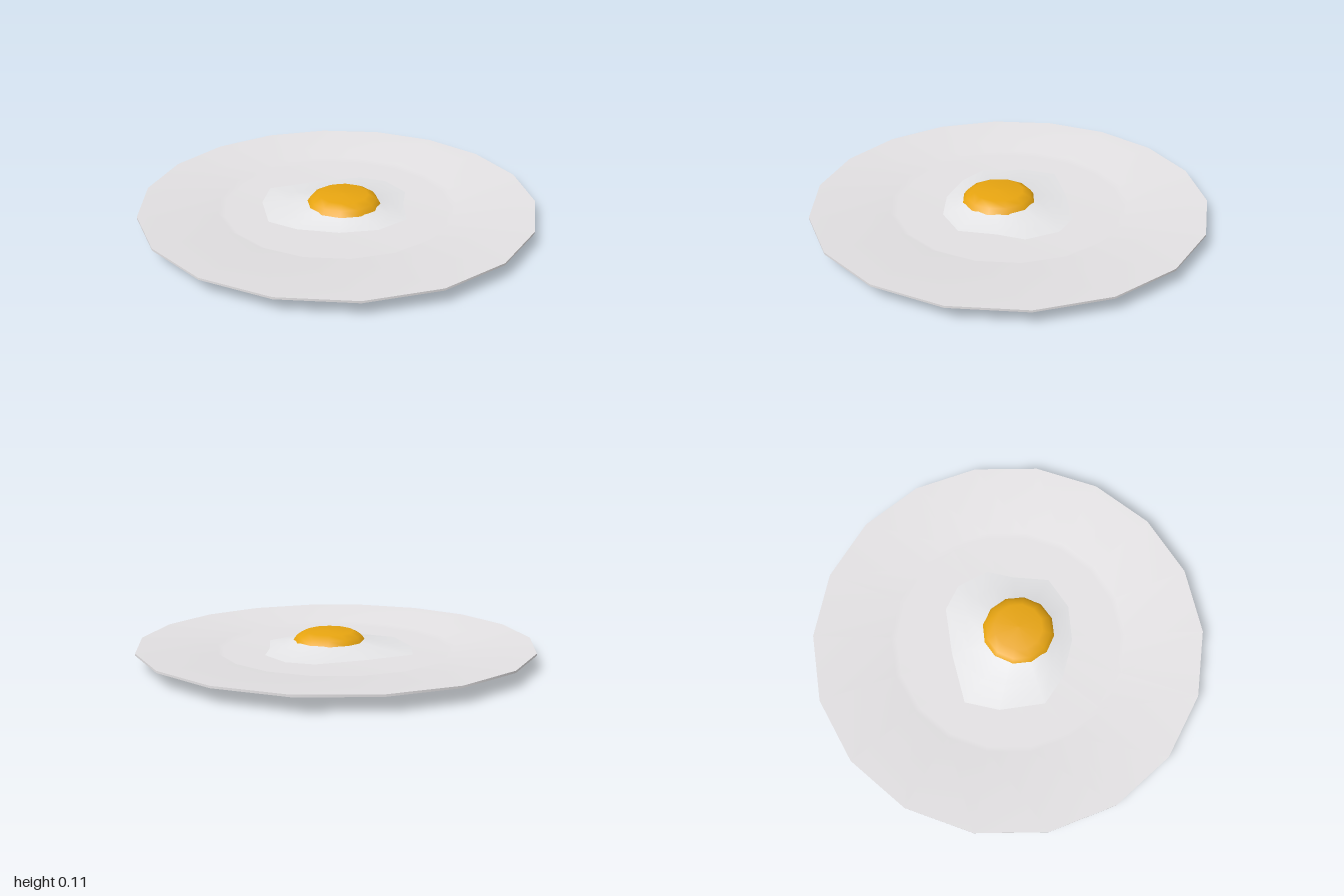
import * as THREE from 'three';

const material = (name, color) => {
  const m = new THREE.MeshStandardMaterial({ color });
  m.name = name;
  return m;
};

// Smooth surface of revolution from [radius, height] pairs
function lathe(name, profile, sides, mat) {
  const points = profile.map(([r, y]) => new THREE.Vector2(r, y));
  const mesh = new THREE.Mesh(new THREE.LatheGeometry(points, sides, Math.PI / 2), mat);
  mesh.name = name;
  return mesh;
}

export function createModel() {
  const group = new THREE.Group();
  group.name = 'friedEggOnPlate';
  const china = material('plate white', 0xe3e1e3);
  const albumen = material('egg white', 0xe9e9eb);
  const yellow = material('yolk yellow', 0xf7b012);

  // Plate: underside with foot, thin rim, dished top
  const plate = new THREE.Group();
  plate.name = 'plate';
  plate.add(
    lathe('plateUnderside', [[0, 0], [0.575, 0], [0.61, 0.025], [1, 0.07]], 18, china),
    lathe('plateRim', [[1, 0.07], [1, 0.08]], 18, china),
    lathe('plateTop', [[1, 0.08], [0.61, 0.045], [0.58, 0.027], [0, 0.027]], 18, china),
  );
  group.add(plate);

  // Egg white: irregular outline rising in rings towards the yolk
  const cx = 0.035, cz = 0.047;
  const outline = [
    [-0.38, -0.16], [-0.14, -0.27], [0.1, -0.35], [0.24, -0.31], [0.35, -0.17], [0.34, -0.03],
    [0.355, 0.16], [0.22, 0.285], [0.035, 0.33], [-0.17, 0.31], [-0.32, 0.24], [-0.39, 0.02],
  ];
  const rings = [[0, 0.03], [0.5, 0.042], [1, 0.066]]; // [blend to yolk, height]
  const n = outline.length;
  const positions = [], index = [];
  rings.forEach(([t, y], k) => {
    outline.forEach(([x, z], i) => {
      const d = Math.hypot(x - cx, z - cz);
      const s = THREE.MathUtils.lerp(d, 0.17, t) / d;
      positions.push(cx + (x - cx) * s, y, cz + (z - cz) * s);
      if (k === rings.length - 1) return;
      const a = k * n + i, b = k * n + (i + 1) % n;
      index.push(a, a + n, b, b, a + n, b + n);
    });
  });
  const whiteGeometry = new THREE.BufferGeometry();
  whiteGeometry.setAttribute('position', new THREE.Float32BufferAttribute(positions, 3));
  whiteGeometry.setIndex(index);
  whiteGeometry.computeVertexNormals();
  const white = new THREE.Mesh(whiteGeometry, albumen);
  white.name = 'eggWhite';
  group.add(white);

  // Yolk: low dome
  const yolk = lathe('yolk', [[0.187, 0.06], [0.168, 0.087], [0.125, 0.108], [0, 0.112]], 12, yellow);
  yolk.position.set(cx, 0, cz);
  group.add(yolk);

  return group;
}
